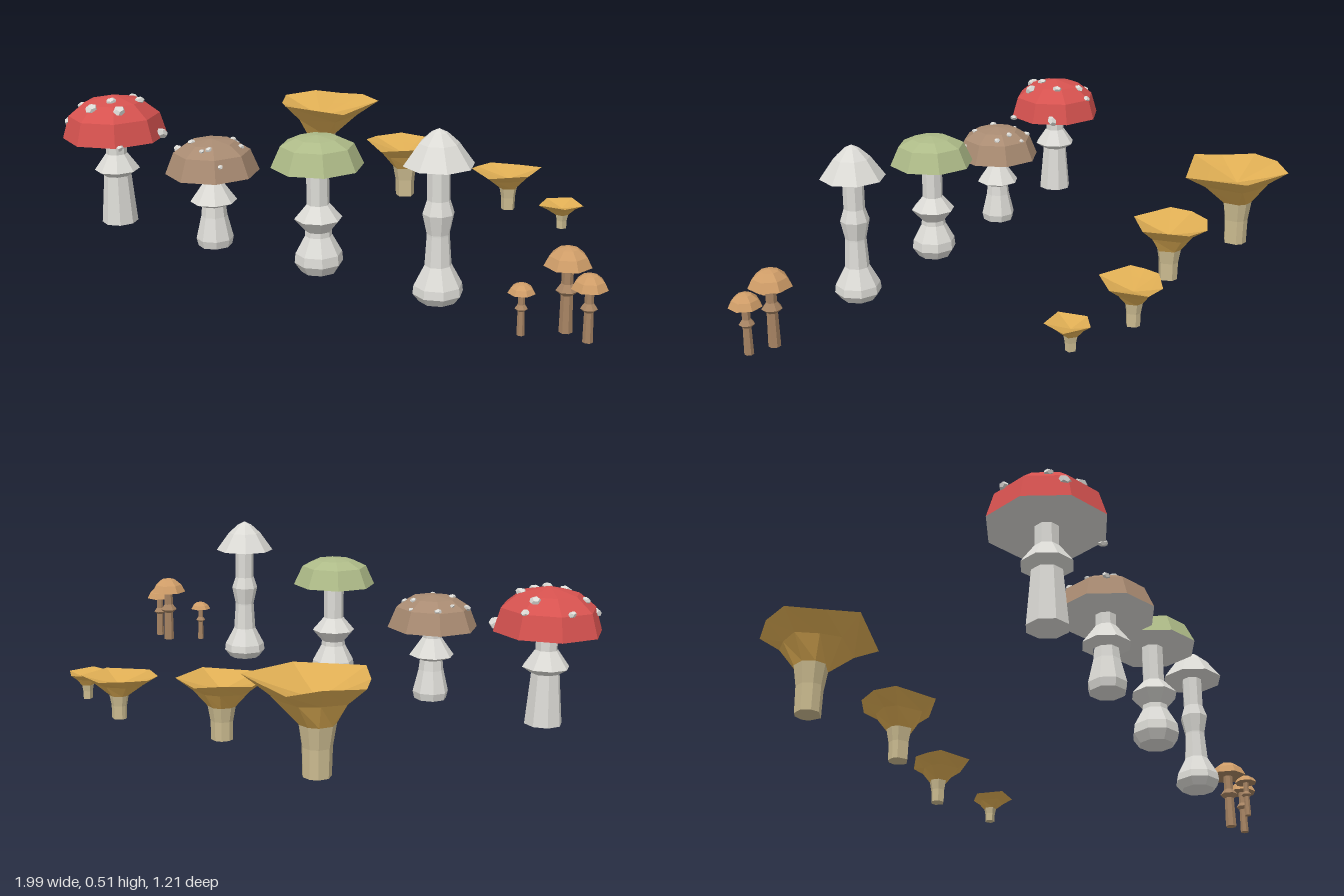
import * as THREE from 'three';

const mat = (name, color) => {
  const m = new THREE.MeshStandardMaterial({ color });
  m.name = name;
  return m;
};

// Facet a geometry so every face has its own normal
function faceted(geo) {
  const g = geo.index ? geo.toNonIndexed() : geo;
  g.computeVertexNormals();
  return g;
}

function add(parent, name, geo, material) {
  const mesh = new THREE.Mesh(faceted(geo), material);
  mesh.name = name;
  parent.add(mesh);
  return mesh;
}

const lathe = (profile, sides) =>
  new THREE.LatheGeometry(profile.map(([r, y]) => new THREE.Vector2(r, y)), sides);

// Skin a stack of rings; each ring is a list of [x, y, z]
function loft(rings) {
  const pos = [];
  const n = rings[0].length;
  for (let j = 0; j < rings.length - 1; j++) {
    for (let k = 0; k < n; k++) {
      const m = (k + 1) % n;
      const [a, b, c, d] = [rings[j][k], rings[j + 1][k], rings[j + 1][m], rings[j][m]];
      pos.push(...a, ...b, ...c, ...a, ...c, ...d);
    }
  }
  const g = new THREE.BufferGeometry();
  g.setAttribute('position', new THREE.Float32BufferAttribute(pos, 3));
  return g;
}

// Height of a cap profile at distance r from its axis
function capHeight(profile, r) {
  for (let i = 0; i < profile.length - 1; i++) {
    const [r0, y0] = profile[i], [r1, y1] = profile[i + 1];
    if (r <= r0 && r >= r1) return y0 + (y1 - y0) * (r0 - r) / (r0 - r1);
  }
  return profile[0][1];
}

// Capped mushroom: stem, skirt ring, gills, cap and optional warts
function cappedMushroom(s, mats) {
  const g = new THREE.Group();
  g.name = s.name;
  g.position.set(s.x, 0, s.z);
  const sides = s.sides ?? 8;
  const [rim, rimY] = s.cap[0];
  add(g, 'stem', lathe([[0, 0], ...s.stem, [s.stem.at(-1)[0], rimY + 0.005]], sides), mats.stem);
  add(g, 'skirt', lathe(s.skirt, sides), mats.stem);
  add(g, 'gills', lathe([[0, rimY], [rim, rimY]], sides), mats.gills);
  add(g, 'cap', lathe(s.cap, sides), mats.cap);
  (s.warts ?? []).forEach(([x, z], i) => {
    const r = Math.hypot(x, z);
    const size = s.wartSize * (0.8 + 0.2 * (i % 3));
    const wart = add(g, 'wart', new THREE.DodecahedronGeometry(size), mats.wart);
    wart.position.set(x, capHeight(s.cap, Math.min(r / 0.96, rim)), z);
    wart.scale.y = 0.7;
    wart.rotation.set(z * 4, i, -x * 4);
  });
  return g;
}

// Funnel mushroom: ribbed stem flaring to an uneven rim with a hollow top
function funnelMushroom({ x, z, height: h, stemR, rim }, stemMat, capMat) {
  const g = new THREE.Group();
  g.name = 'funnelMushroom';
  g.position.set(x, 0, z);
  const local = rim.map(([px, pz]) => [px - x, pz - z]);
  const circle = (r, y) => local.map(([px, pz]) => {
    const k = r / Math.hypot(px, pz);
    return [px * k, y, pz * k];
  });
  const scaled = (f, y, wave = 0) =>
    local.map(([px, pz], i) => [px * f, y + wave * Math.sin(i * 2.3), pz * f]);
  const neck = circle(stemR * 1.3, h * 0.53);
  add(g, 'stem', loft([circle(0, 0), circle(stemR, 0), circle(stemR * 1.05, h * 0.3), neck]), stemMat);
  add(g, 'funnel', loft([
    neck,
    scaled(0.62, h * 0.78),
    scaled(1, h * 0.97, h * 0.03),
    scaled(0.6, h * 0.88, h * 0.02),
    scaled(0, h * 0.76),
  ]), capMat);
  return g;
}

export function createModel() {
  const white = mat('pale flesh', 0xdcdbd6);
  const red = mat('red cap', 0xd6524f);
  const brown = mat('brown cap', 0xa98b72);
  const green = mat('green cap', 0xaebb88);
  const tan = mat('tan cap', 0xcf9d68);
  const tanStem = mat('tan stem', 0xa78463);
  const gold = mat('golden funnel', 0xdfae54);
  const straw = mat('straw stem', 0xcbbb90);

  const model = new THREE.Group();
  model.name = 'mushroomSet';

  // Four large mushrooms in the front row
  const large = [
    { name: 'redMushroom', x: -0.828, z: 0.43, color: red,
      stem: [[0.06, 0], [0.045, 0.17], [0.035, 0.24]],
      skirt: [[0.045, 0.165], [0.075, 0.185], [0.036, 0.24]],
      cap: [[0.172, 0.3], [0.15, 0.375], [0.095, 0.42], [0, 0.442]],
      wartSize: 0.018,
      warts: [[0, -0.14], [-0.01, -0.1], [0.145, -0.07], [-0.12, -0.07], [0.03, 0.04], [0.085, 0.06],
        [-0.1, 0.05], [-0.11, 0.1], [0, 0.1], [0.13, 0.11], [0.07, -0.05]] },
    { name: 'brownMushroom', x: -0.397, z: 0.43, color: brown,
      stem: [[0.054, 0], [0.06, 0.025], [0.042, 0.1], [0.032, 0.19]],
      skirt: [[0.04, 0.135], [0.075, 0.15], [0.032, 0.21]],
      cap: [[0.15, 0.246], [0.122, 0.315], [0.075, 0.345], [0, 0.355]],
      wartSize: 0.011,
      warts: [[0.01, -0.11], [0.03, -0.07], [-0.075, -0.08], [-0.09, -0.02], [0.045, 0.065],
        [-0.045, 0.045], [0.1, 0.075], [0.08, -0.05], [-0.105, 0.045], [0.03, 0.08]] },
    { name: 'greenMushroom', x: 0.025, z: 0.43, color: green,
      stem: [[0.055, 0], [0.075, 0.03], [0.072, 0.06], [0.042, 0.115], [0.035, 0.2]],
      skirt: [[0.04, 0.13], [0.074, 0.17], [0.035, 0.215]],
      cap: [[0.142, 0.335], [0.112, 0.4], [0.065, 0.422], [0, 0.43]] },
    { name: 'whiteMushroom', x: 0.455, z: 0.43, color: white,
      stem: [[0.055, 0], [0.075, 0.025], [0.072, 0.05], [0.04, 0.11], [0.034, 0.2]],
      skirt: [[0.034, 0.205], [0.047, 0.265], [0.034, 0.305]],
      cap: [[0.104, 0.408], [0.058, 0.472], [0.025, 0.502], [0, 0.514]] },
  ];
  for (const s of large)
    model.add(cappedMushroom(s, { stem: white, gills: white, cap: s.color, wart: white }));

  // Cluster of three small mushrooms: x, z, cap radius, rim height, top height
  const small = [
    [0.865, 0.427, 0.067, 0.193, 0.247],
    [0.945, 0.455, 0.051, 0.153, 0.195],
    [0.774, 0.515, 0.039, 0.123, 0.15],
  ];
  for (const [x, z, r, rimY, topY] of small) {
    const rise = topY - rimY, sr = r * 0.25, ringY = rimY * 0.63;
    model.add(cappedMushroom({
      name: 'smallMushroom', x, z, sides: 7,
      stem: [[sr * 1.15, 0], [sr, ringY]],
      skirt: [[sr, ringY - r * 0.2], [sr * 1.9, ringY], [sr, ringY + r * 0.3]],
      cap: [[r, rimY], [r * 0.78, rimY + rise * 0.52], [r * 0.42, rimY + rise * 0.88], [0, topY]],
    }, { stem: tanStem, gills: tanStem, cap: tan }));
  }

  // Four funnel mushrooms in the back row, largest to smallest
  const funnels = [
    { x: -0.615, z: -0.43, height: 0.29, stemR: 0.042,
      rim: [[-0.783, -0.428], [-0.72, -0.535], [-0.65, -0.604], [-0.532, -0.588],
        [-0.425, -0.54], [-0.425, -0.315], [-0.644, -0.251], [-0.72, -0.326]] },
    { x: -0.187, z: -0.365, height: 0.2, stemR: 0.034,
      rim: [[-0.329, -0.385], [-0.27, -0.465], [-0.2, -0.497], [-0.1, -0.476],
        [-0.067, -0.326], [-0.2, -0.23], [-0.318, -0.31]] },
    { x: 0.205, z: -0.43, height: 0.145, stemR: 0.024,
      rim: [[0.088, -0.412], [0.11, -0.47], [0.195, -0.524], [0.286, -0.519],
        [0.302, -0.396], [0.195, -0.305], [0.094, -0.364]] },
    { x: 0.455, z: -0.35, height: 0.09, stemR: 0.017,
      rim: [[0.388, -0.369], [0.457, -0.417], [0.527, -0.364], [0.5, -0.283], [0.404, -0.278]] },
  ];
  for (const f of funnels) model.add(funnelMushroom(f, straw, gold));

  return model;
}
